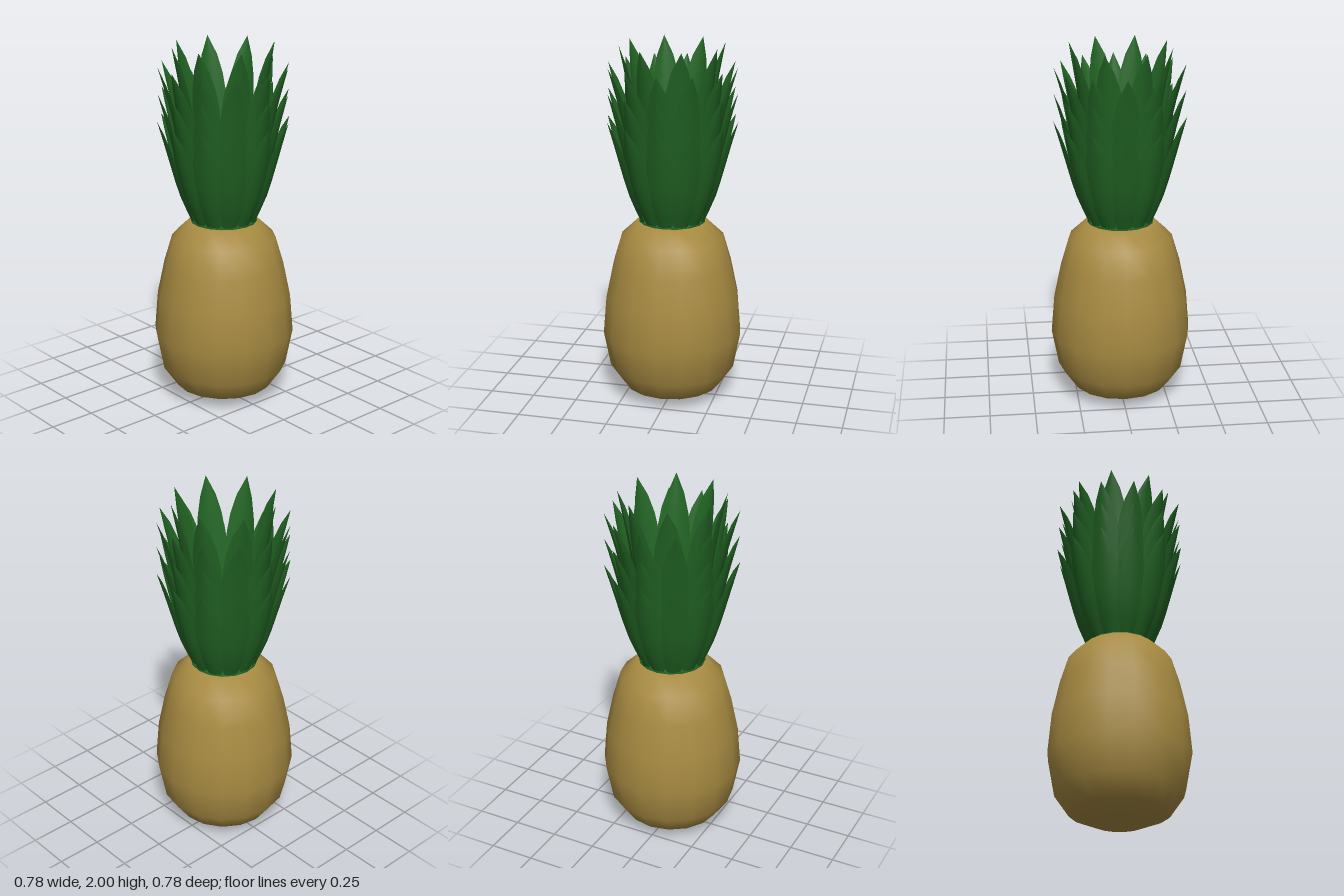
import * as THREE from 'three';

// Leaf sheet: spine is a list of [radius, height], cupped towards the centre
function leafGeometry(spine, halfWidth) {
  const curve = new THREE.CatmullRomCurve3(spine.map(([r, y]) => new THREE.Vector3(0, y, r)));
  const outline = [0.45, 0.7, 0.88, 0.98, 1, 0.95, 0.82, 0.53, 0];
  const rows = outline.length - 1, cols = 4;
  const geo = new THREE.PlaneGeometry(1, 1, cols, rows);
  const pos = geo.attributes.position;
  for (let j = 0; j <= rows; j++) {
    const p = curve.getPoint(j / rows);
    const w = halfWidth * outline[j];
    for (let i = 0; i <= cols; i++) {
      const u = (i / cols) * 2 - 1;
      pos.setXYZ(j * (cols + 1) + i, w * u, p.y, p.z - 0.32 * w * u * u);
    }
  }
  // rows run upwards, so flip the corner order to face outwards
  const index = geo.index.array;
  for (let k = 0; k < index.length; k += 3) [index[k], index[k + 1]] = [index[k + 1], index[k]];
  geo.computeVertexNormals();
  return geo;
}

export function createModel() {
  const model = new THREE.Group();
  model.name = 'pineapple';
  const skin = new THREE.MeshStandardMaterial({ color: 0xa88b42 });
  skin.name = 'golden skin';
  const green = new THREE.MeshStandardMaterial({ color: 0x226524, side: THREE.DoubleSide });
  green.name = 'leaf green';

  // Fruit body
  const profile = [
    [0, 0.005], [0.14, 0.02], [0.27, 0.075], [0.35, 0.19], [0.388, 0.39],
    [0.37, 0.6], [0.33, 0.79], [0.285, 0.94], [0.19, 1.03], [0, 1.03],
  ].map(([x, y]) => new THREE.Vector2(x, y));
  const body = new THREE.Mesh(new THREE.LatheGeometry(profile, 16), skin);
  body.name = 'fruitBody';
  model.add(body);

  // Green floor inside the crown
  const floor = new THREE.Mesh(new THREE.CylinderGeometry(0.182, 0.182, 0.008, 16), green);
  floor.name = 'crownBase';
  floor.position.y = 1.034;
  model.add(floor);

  // Crown rings, from the tall inner one to the short outer one
  const rings = [
    { name: 'innerLeaf', count: 8, turn: 0.5, half: 0.083,
      spine: [[0.115, 1.03], [0.17, 1.27], [0.215, 1.6], [0.245, 1.8], [0.285, 2.0]] },
    { name: 'upperLeaf', count: 12, turn: 0, half: 0.078,
      spine: [[0.135, 1.03], [0.2, 1.25], [0.26, 1.52], [0.3, 1.7], [0.353, 1.89]] },
    { name: 'middleLeaf', count: 12, turn: 0, half: 0.078,
      spine: [[0.155, 1.03], [0.225, 1.22], [0.28, 1.45], [0.31, 1.58], [0.355, 1.75]] },
    { name: 'outerLeaf', count: 12, turn: 0, half: 0.076,
      spine: [[0.175, 1.03], [0.24, 1.18], [0.29, 1.35], [0.32, 1.46], [0.36, 1.6]] },
  ];
  for (const { name, count, turn, half, spine } of rings) {
    const geo = leafGeometry(spine, half);
    for (let i = 0; i < count; i++) {
      const leaf = new THREE.Mesh(geo, green);
      leaf.name = name;
      leaf.rotation.y = ((i + turn) / count) * Math.PI * 2;
      model.add(leaf);
    }
  }
  return model;
}
